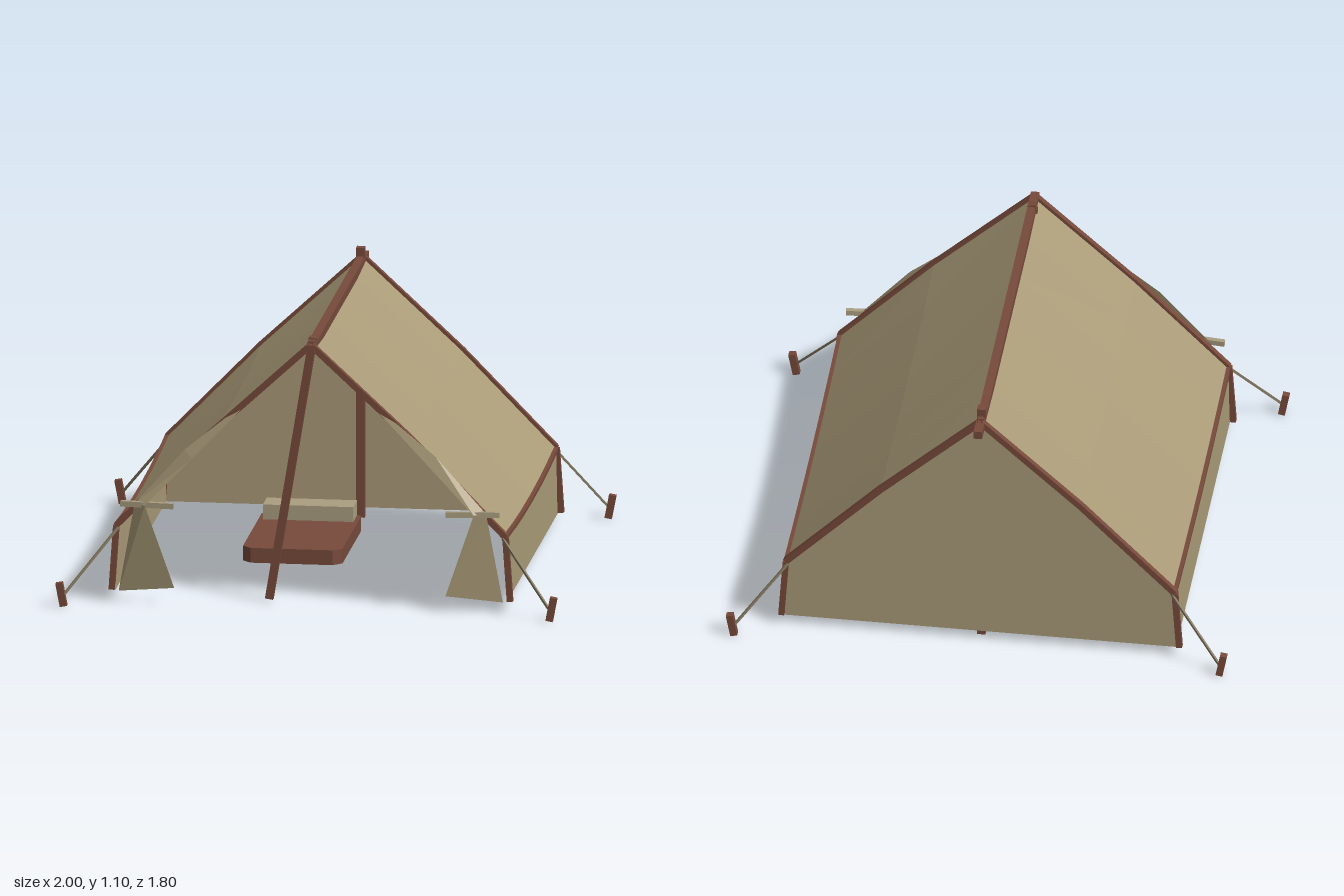
import * as THREE from 'three';

const V = (x, y, z) => new THREE.Vector3(x, y, z);

export function createModel() {
  const tent = new THREE.Group();
  tent.name = 'tent';
  const mat = (name, hex, double) => {
    const m = new THREE.MeshStandardMaterial({ color: hex, flatShading: true });
    m.name = name;
    if (double) m.side = THREE.DoubleSide;
    return m;
  };
  const canvas = mat('canvas', 0xaa9b78, true);
  const wood = mat('wood', 0x774a3b);
  const rope = mat('rope', 0x857a62);
  const linen = mat('linen', 0xaa9e80);

  const add = (name, geometry, material) => {
    const mesh = new THREE.Mesh(geometry, material);
    mesh.name = name;
    tent.add(mesh);
    return mesh;
  };
  // square bar between two points
  const bar = (name, a, b, w, material = wood, h = w) => {
    const mesh = add(name, new THREE.BoxGeometry(w, h, a.distanceTo(b)), material);
    mesh.position.copy(a).add(b).multiplyScalar(0.5);
    mesh.lookAt(b);
    return mesh;
  };
  // sheet through rows of points
  const sheet = (name, rows, material) => {
    const n = rows[0].length, index = [];
    for (let i = 0; i < rows.length - 1; i++) {
      for (let j = 0; j < n - 1; j++) {
        const a = i * n + j, b = a + n;
        index.push(a, b, a + 1, a + 1, b, b + 1);
      }
    }
    const g = new THREE.BufferGeometry().setFromPoints(rows.flat());
    g.setIndex(index);
    const flat = g.toNonIndexed();
    flat.computeVertexNormals();
    return add(name, flat, material);
  };

  const zF = 0.75, zB = -0.78;
  const half = [[0, 1.06], [0.4, 0.69], [0.775, 0.305], [0.78, 0.04]];
  const sags = [0.025, 0.03, 0.025, 0];
  const zs = [0, 1, 2, 3, 4, 5, 6].map(i => zF + (zB - zF) * i / 6);
  const sagAt = z => 1 - ((z - (zF + zB) / 2) / ((zF - zB) / 2)) ** 2;
  const cloth = (s, k, z) => V(s * half[k][0], half[k][1] - sags[k] * sagAt(z), z);

  // sagging roof slopes and low side walls
  for (const s of [-1, 1]) {
    const side = s > 0 ? 'left' : 'right';
    const order = s > 0 ? [3, 2, 1, 0] : [0, 1, 2, 3];
    const rows = ks => zs.map(z => ks.map(k => cloth(s, k, z)));
    sheet(side + 'Roof', rows(order.filter(k => k < 3)), canvas);
    sheet(side + 'Wall', rows(order.filter(k => k > 1)), canvas);

    // edge trim of both gables
    for (const [end, z] of [['front', zF], ['back', zB]]) {
      const path = [V(0, 1.06, z), V(s * 0.4, 0.69, z), V(s * 0.775, 0.305, z), V(s * 0.793, 0.045, z)];
      for (let i = 0; i < 3; i++) bar(end + 'Trim', path[i], path[i + 1], 0.024);

      // guy rope and ground stake
      const out = end === 'front' ? 0.885 : -0.885;
      bar(end + 'GuyRope', V(s * 0.765, 0.3, z + Math.sign(z) * 0.01), V(s * 0.965, 0.05, out), 0.009, rope);
      bar(end + 'Stake', V(s * 0.967, 0.003, out), V(s * 0.985, 0.097, out), 0.028);
    }

    // trim along the eave
    for (let i = 0; i < zs.length - 1; i++) {
      bar('eaveTrim', cloth(s, 2, zs[i]), cloth(s, 2, zs[i + 1]), 0.016);
    }

    // tied-back door flap
    const flap = [
      [V(s * 0.2, 0.87, 0.755), V(s * 0.2, 0.87, 0.755)],
      [V(s * 0.5, 0.625, 0.77), V(s * 0.47, 0.59, 0.78)],
      [V(s * 0.7, 0.4, 0.77), V(s * 0.655, 0.4, 0.805)],
      [V(s * 0.765, 0.04, 0.755), V(s * 0.54, 0.065, 0.785)],
    ];
    sheet(side + 'DoorFlap', s > 0 ? flap.map(r => [r[1], r[0]]) : flap, canvas);
    const tie = add(side + 'FlapTie', new THREE.BoxGeometry(0.214, 0.022, 0.02), linen);
    tie.position.set(s * 0.648, 0.4, 0.787);
    tie.rotation.y = s * 0.1;
  }

  // back gable wall
  const outline = [...half.slice().reverse().map(([x, y]) => [-x, y]), ...half.slice(1)];
  const gable = new THREE.ShapeGeometry(new THREE.Shape(outline.map(p => new THREE.Vector2(...p))));
  add('backWall', gable, canvas).position.z = zB;

  // ridge beam and the poles beneath it
  bar('ridgeBeam', V(0, 1.047, 0.775), V(0, 1.047, -0.855), 0.034);
  for (let i = 0; i < zs.length - 1; i++) {
    bar('ridgeTrim', cloth(1, 0, zs[i]), cloth(1, 0, zs[i + 1]), 0.026);
  }
  bar('backPole', V(0, 0.01, -0.745), V(0, 1.105, -0.745), 0.034);
  bar('frontPole', V(-0.175, 0.01, 0.68), V(0, 1.075, 0.68), 0.032);

  // low bed with clipped corners
  const bx = 0.198, bz = 0.315, c = 0.035;
  const bed = new THREE.Shape([
    [-bx + c, -bz], [bx - c, -bz], [bx, -bz + c], [bx, bz - c],
    [bx - c, bz], [-bx + c, bz], [-bx, bz - c], [-bx, -bz + c],
  ].map(p => new THREE.Vector2(...p)));
  const bedGeo = new THREE.ExtrudeGeometry(bed, { depth: 0.06, bevelEnabled: false });
  bedGeo.rotateX(-Math.PI / 2);
  add('bed', bedGeo, wood).position.set(-0.162, 0.015, -0.205);

  // pillow at the back of the bed
  add('pillow', new THREE.BoxGeometry(0.36, 0.06, 0.12), linen).position.set(-0.162, 0.105, -0.44);

  return tent;
}
